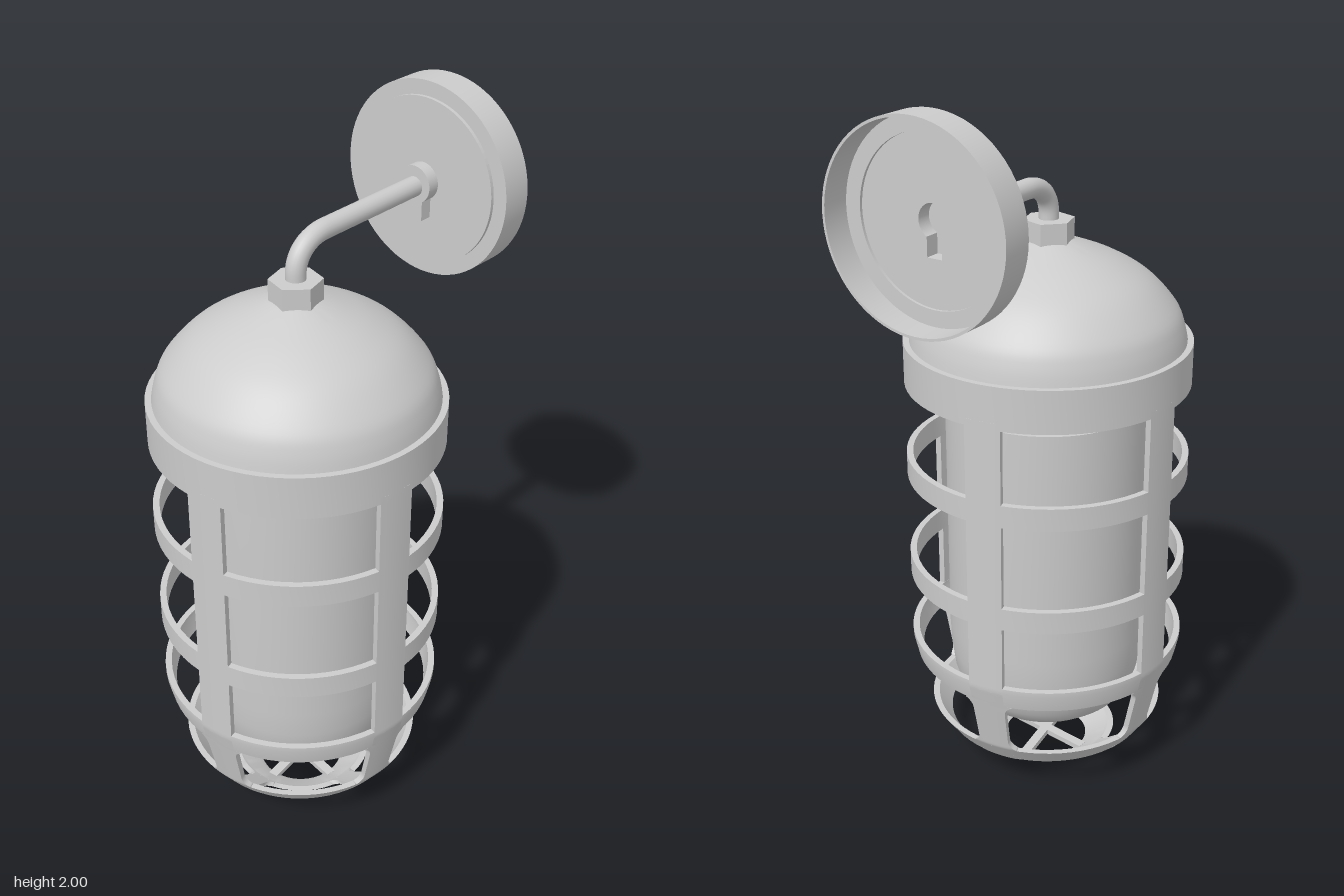
import * as THREE from 'three';
import { toCreasedNormals } from 'three/addons/utils/BufferGeometryUtils.js';

const AXIS_Z = 0.095; // lamp axis
const PLATE_Y = 1.735; // wall plate centre
const WALL = 0.018; // cage thickness
const deg = THREE.MathUtils.degToRad;

const material = new THREE.MeshStandardMaterial({ color: 0xcccccc });

function add(parent, name, geometry) {
  const mesh = new THREE.Mesh(geometry, material);
  mesh.name = name;
  parent.add(mesh);
  return mesh;
}

function lathe(points, segments = 64) {
  const g = new THREE.LatheGeometry(points.map(([r, y]) => new THREE.Vector2(r, y)), segments);
  return toCreasedNormals(g, 0.6);
}

// Outer outline of the cage as [radius, height]
const cageLine = [[0.14, 0], [0.155, 0.012], [0.2, 0.035], [0.3, 0.105], [0.345, 0.17], [0.395, 0.39], [0.395, 1.3]];

function cageRadius(y) {
  for (let i = 1; i < cageLine.length; i++) {
    const [r0, y0] = cageLine[i - 1], [r1, y1] = cageLine[i];
    if (y <= y1) return r0 + (r1 - r0) * (y - y0) / (y1 - y0);
  }
  return 0.395;
}

// Closed hoop following the cage outline between two heights
function hoop(y0, y1) {
  const heights = [y0, ...cageLine.map((p) => p[1]).filter((y) => y > y0 && y < y1), y1];
  const outer = heights.map((y) => [cageRadius(y), y]);
  const inner = heights.map((y) => [cageRadius(y) - WALL, y]).reverse();
  return lathe([...outer, ...inner, outer[0]], 72);
}

// Curved upright, flared into rounded corners where it meets the lower hoops
function upright(centre) {
  const edges = [0.04, 0.11, 0.165, 0.34];
  const y0 = 0.03, y1 = 1.2;
  const g = new THREE.BoxGeometry(1, 1, 1, 6, 160, 1);
  const p = g.attributes.position;
  for (let i = 0; i < p.count; i++) {
    const t = p.getY(i) + 0.5;
    const y = y0 + (y1 - y0) * t * t; // denser rows near the bottom
    const r = cageRadius(y);
    const d = Math.min(...edges.map((e) => Math.abs(y - e)));
    const f = y < 0.11 ? 0.02 : 0.035;
    const flare = d < f && y < 0.34 ? f - Math.sqrt(f * f - (f - d) ** 2) : 0;
    const a = centre + p.getX(i) * 2 * (deg(7.5) + flare / r);
    const rr = p.getZ(i) > 0 ? r : r - WALL;
    p.setXYZ(i, rr * Math.sin(a), y, rr * Math.cos(a));
  }
  g.computeVertexNormals();
  return g;
}

// Round hole with a slot below
function keyhole(Type, r, w, bottom) {
  const s = new Type();
  const a = Math.asin(w / r);
  s.moveTo(-w, bottom);
  s.lineTo(w, bottom);
  s.absarc(0, 0, r, -Math.PI / 2 + a, Math.PI * 1.5 - a, false);
  s.lineTo(-w, bottom);
  return s;
}

function extrude(shape, depth) {
  return new THREE.ExtrudeGeometry(shape, { depth, bevelEnabled: false, curveSegments: 48 });
}

export function createModel() {
  const model = new THREE.Group();
  model.name = 'wallLantern';

  // Wall plate: hollow cup with a raised face and keyhole-shaped boss
  const mount = new THREE.Group();
  mount.name = 'wallMount';
  mount.position.y = PLATE_Y;
  model.add(mount);
  const rim = lathe([[0.265, -0.49], [0.265, -0.4], [0.215, -0.4], [0.215, -0.41],
    [0.258, -0.41], [0.258, -0.49], [0.265, -0.49]], 72);
  rim.rotateX(Math.PI / 2);
  add(mount, 'plateRim', rim);
  const face = new THREE.Shape().absarc(0, 0, 0.225, 0, Math.PI * 2, false);
  face.holes.push(keyhole(THREE.Path, 0.045, 0.022, -0.09));
  add(mount, 'plateFace', extrude(face, 0.012)).position.z = -0.402;
  const wall = keyhole(THREE.Shape, 0.051, 0.028, -0.096);
  wall.holes.push(keyhole(THREE.Path, 0.045, 0.022, -0.09));
  add(mount, 'bossWall', extrude(wall, 0.04)).position.z = -0.4;
  add(mount, 'bossCap', extrude(keyhole(THREE.Shape, 0.051, 0.028, -0.096), 0.006)).position.z = -0.361;

  // Bent arm
  const path = new THREE.CurvePath();
  const v = (y, z) => new THREE.Vector3(0, y, z);
  path.add(new THREE.LineCurve3(v(1.73, -0.36), v(1.727, -0.01)));
  path.add(new THREE.CubicBezierCurve3(v(1.727, -0.01), v(1.726, 0.055), v(1.69, AXIS_Z), v(1.64, AXIS_Z)));
  path.add(new THREE.LineCurve3(v(1.64, AXIS_Z), v(1.58, AXIS_Z)));
  add(model, 'arm', new THREE.TubeGeometry(path, 60, 0.027, 20));

  const lamp = new THREE.Group();
  lamp.name = 'lamp';
  lamp.position.z = AXIS_Z;
  model.add(lamp);

  // Hexagonal nut
  const nut = new THREE.CylinderGeometry(0.07, 0.07, 0.065, 6, 1, false, deg(15)).toNonIndexed();
  nut.computeVertexNormals();
  add(lamp, 'nut', nut).position.y = 1.595;

  // Dome: smooth shoulder up to a shallow cone
  const curve = new THREE.SplineCurve([[0.38, 1.29], [0.368, 1.345], [0.345, 1.395], [0.28, 1.465],
    [0.2, 1.515], [0.12, 1.55], [0.06, 1.572]].map(([x, y]) => new THREE.Vector2(x, y)));
  const shoulder = curve.getPoints(28).map((p) => [p.x, p.y]);
  add(lamp, 'dome', lathe([[0, 1.185], [0.378, 1.185], ...shoulder, [0, 1.575]], 72));

  // Socket: flange, neck and lugs
  add(lamp, 'flange', new THREE.CylinderGeometry(0.328, 0.328, 0.035, 64)).position.y = 1.172;
  add(lamp, 'neck', new THREE.CylinderGeometry(0.23, 0.23, 0.05, 48)).position.y = 1.14;
  for (let i = 0; i < 4; i++) {
    const a = deg(45 + i * 90);
    const lug = add(lamp, 'lug', new THREE.BoxGeometry(0.12, 0.022, 0.06));
    lug.position.set(0.235 * Math.sin(a), 1.145, 0.235 * Math.cos(a));
    lug.rotation.y = a;
  }

  // Glass jar with rounded base
  add(lamp, 'glass', lathe([[0, 0.162], [0.17, 0.162], [0.2, 0.172], [0.235, 0.2], [0.258, 0.235],
    [0.273, 0.28], [0.281, 0.34], [0.285, 0.42], [0.285, 1.125], [0, 1.125]]));

  // Cage: hoops, four uprights and a cross underneath
  const cage = new THREE.Group();
  cage.name = 'cage';
  lamp.add(cage);
  for (const [y0, y1] of [[0, 0.04], [0.11, 0.165], [0.34, 0.405], [0.595, 0.66], [0.905, 0.97], [1.18, 1.3]]) {
    add(cage, 'hoop', hoop(y0, y1));
  }
  for (const angle of [7.5, 82.5, 187.5, 262.5]) {
    add(cage, 'upright', upright(deg(angle)));
    const spoke = new THREE.BoxGeometry(0.028, 0.016, 0.145);
    spoke.translate(0, 0.009, 0.0725);
    spoke.rotateY(deg(angle));
    add(cage, 'spoke', spoke);
  }
  return model;
}
